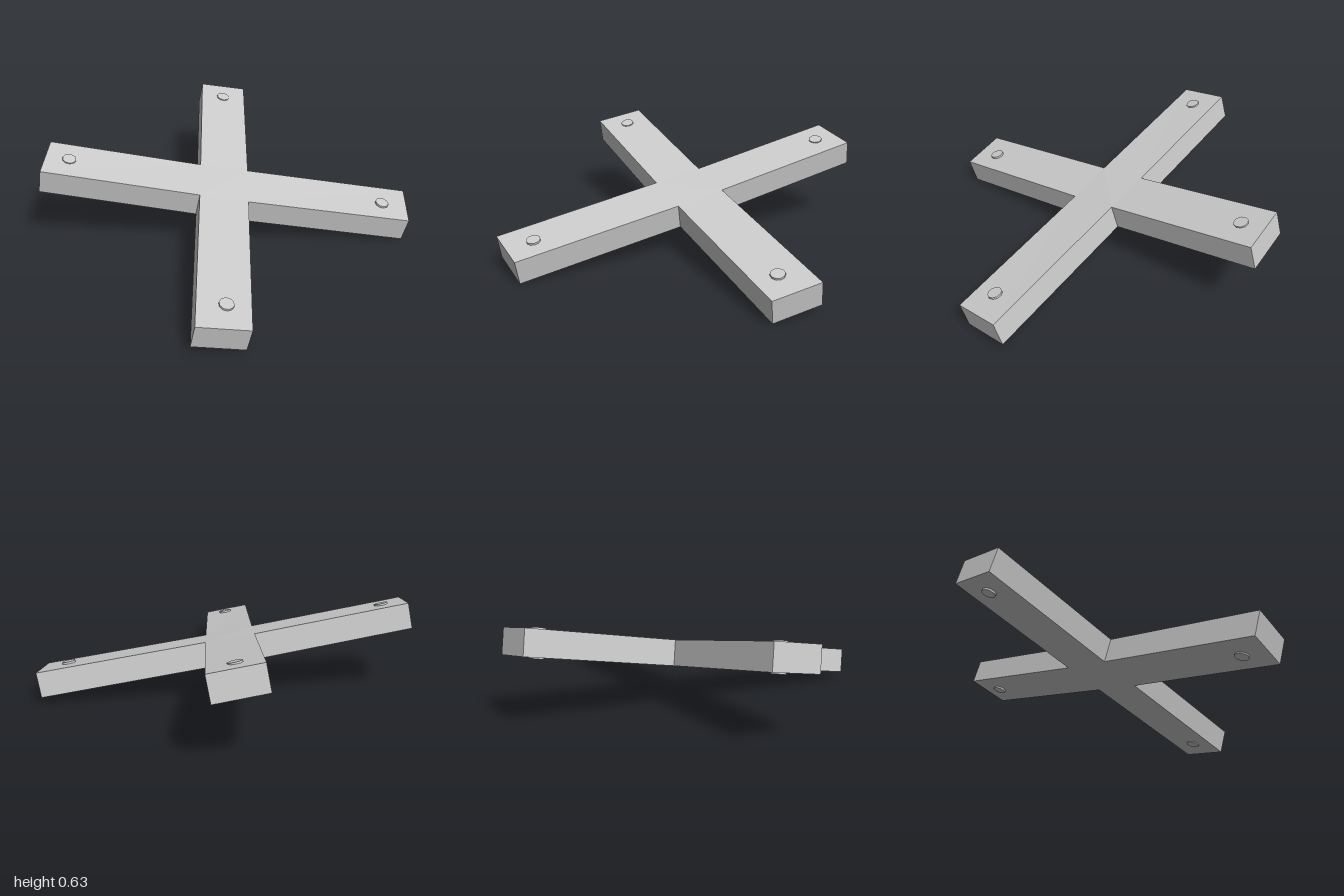
import * as THREE from 'three';

const material = new THREE.MeshStandardMaterial({ color: 0xcccccc });
const THICKNESS = 0.163;

// Flat cross outline, with a very slight fold along its centre line
function crossGeometry() {
  const half = [
    [0, 0.217], [0.765, 0.966], [1, 0.759], [0.225, -0.005],
    [0.93, -0.718], [0.695, -0.933], [0, -0.23],
  ];
  const mirrored = half.slice(1, -1).reverse().map(([x, z]) => [-x, z]);
  const outline = [...half, ...mirrored].map(([x, z]) => new THREE.Vector2(x, -z));
  const geometry = new THREE.ExtrudeGeometry(new THREE.Shape(outline), {
    depth: THICKNESS, bevelEnabled: false,
  });
  geometry.rotateX(-Math.PI / 2).translate(0, -THICKNESS, 0);
  const p = geometry.attributes.position;
  for (let i = 0; i < p.count; i++) {
    const fold = 0.0125 * Math.max(0, 1 - Math.abs(p.getX(i)) / 0.765);
    p.setY(i, p.getY(i) - fold);
  }
  geometry.computeVertexNormals();
  return geometry;
}

export function createModel() {
  const model = new THREE.Group();
  model.name = 'tiltedCross';

  // Everything is built flat, then leaned down towards the front
  const frame = new THREE.Group();
  frame.name = 'crossFrame';
  frame.position.y = 0.404;
  frame.rotation.x = Math.atan(0.2573);
  model.add(frame);

  const cross = new THREE.Mesh(crossGeometry(), material);
  cross.name = 'crossBars';
  frame.add(cross);

  // Pegs pass through each arm and stand slightly proud on both faces
  const pegGeometry = new THREE.CylinderGeometry(0.044, 0.044, THICKNESS + 0.021, 10);
  const pegs = [
    { name: 'frontPeg', x: 0.75, y: -0.081, z: 0.75, tilt: 0 },
    { name: 'backPeg', x: 0.705, y: -0.085, z: -0.725, tilt: 0.06 },
  ];
  for (const { name, x, y, z, tilt } of pegs) {
    for (const side of [-1, 1]) {
      const peg = new THREE.Mesh(pegGeometry, material);
      peg.name = name + (side > 0 ? 'Left' : 'Right');
      peg.position.set(side * x, y, z);
      peg.rotation.x = tilt;
      frame.add(peg);
    }
  }
  return model;
}
